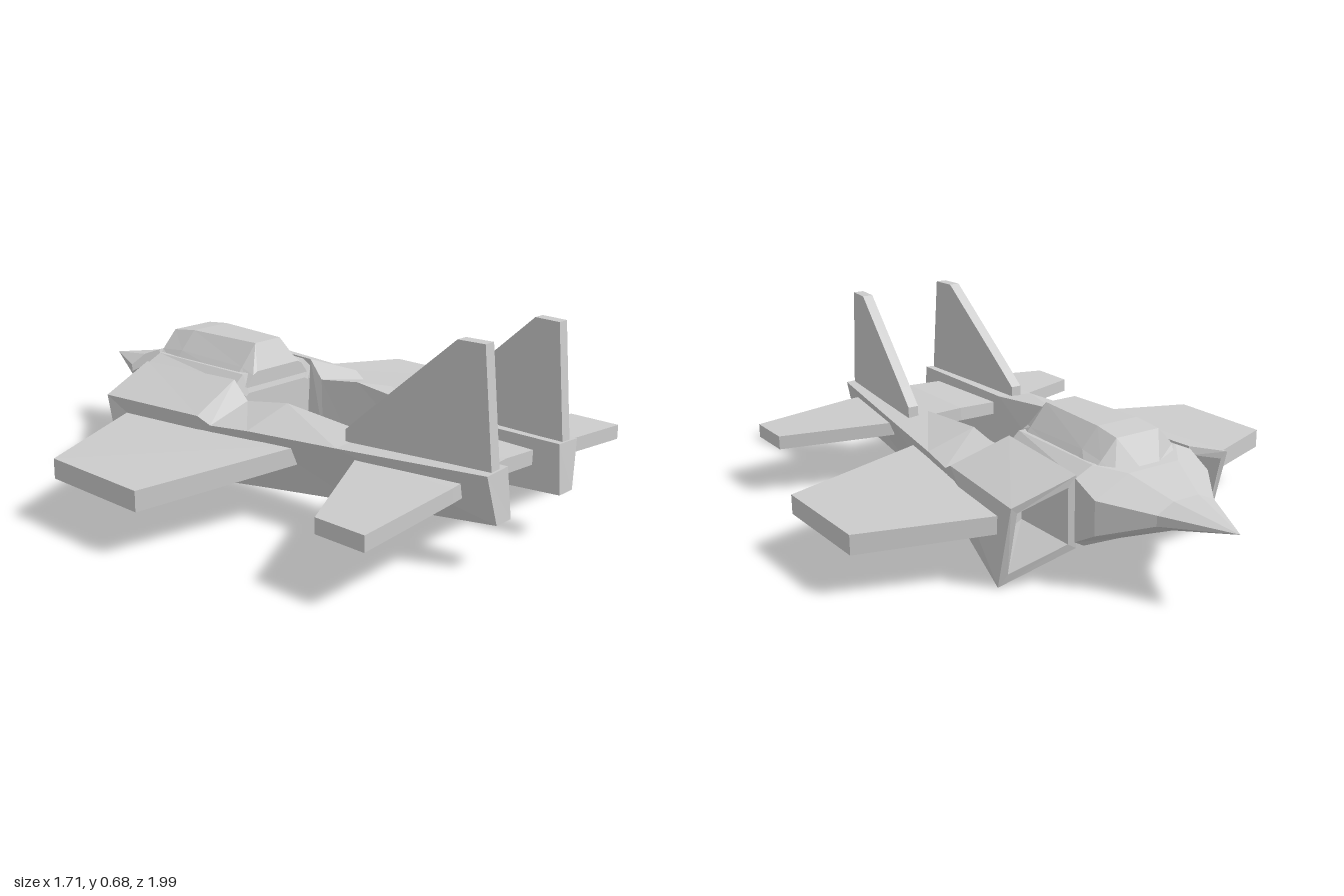
import * as THREE from 'three';

const material = new THREE.MeshStandardMaterial({ color: 0xcccccc, flatShading: true });

// Skin a closed solid over rings of [x, y, z], counter-clockwise seen from the last ring's end
function loft(name, rings) {
  const out = [];
  const tri = (a, b, c) => out.push(...a, ...b, ...c);
  const n = rings[0].length;
  for (let i = 0; i < rings.length - 1; i++) {
    for (let j = 0; j < n; j++) {
      const k = (j + 1) % n, a = rings[i], b = rings[i + 1];
      tri(a[j], a[k], b[k]);
      tri(a[j], b[k], b[j]);
    }
  }
  const first = rings[0], last = rings[rings.length - 1];
  for (let j = 1; j < n - 1; j++) {
    tri(first[0], first[j + 1], first[j]);
    tri(last[0], last[j], last[j + 1]);
  }
  const geometry = new THREE.BufferGeometry();
  geometry.setAttribute('position', new THREE.Float32BufferAttribute(out, 3));
  geometry.computeVertexNormals();
  const mesh = new THREE.Mesh(geometry, material);
  mesh.name = name;
  return mesh;
}

const flip = ([x, y, z]) => [-x, y, z];
const mirror = (rings) => rings.map((r) => r.map(flip).reverse());
// Complete a right-to-left half outline (given on +x, bottom to top) symmetrically
const whole = (half) => [...half, ...half.map(flip).reverse()];

export function createModel() {
  const group = new THREE.Group();
  const pair = (name, rings) => {
    group.add(loft(name + 'Left', rings), loft(name + 'Right', mirror(rings)));
  };

  // Nose and central body: z, bottom half-width and y, side half-width and y range, top half-width and y
  const body = [
    [-0.99, 0, 0.27, 0, 0.27, 0.27, 0, 0.27],
    [-0.76, 0.05, 0.217, 0.115, 0.245, 0.28, 0.05, 0.31],
    [-0.61, 0.13, 0.16, 0.23, 0.19, 0.305, 0.1, 0.365],
    [-0.52, 0.2, 0.12, 0.235, 0.14, 0.35, 0.17, 0.38],
    [-0.1, 0.15, 0.12, 0.19, 0.16, 0.34, 0.15, 0.375],
    [-0.08, 0.15, 0.12, 0.155, 0.16, 0.3, 0.14, 0.31],
  ];
  group.add(loft('fuselage', body.map(([z, bw, by, w, y0, y1, tw, ty]) =>
    whole([[bw, by, z], [w, y0, z], [w, y1, z], [tw, ty, z]]))));

  // Canopy
  group.add(loft('canopy', [
    [[0.19, 0.34, -0.53], [0.12, 0.36, -0.57], [0.04, 0.367, -0.59]],
    [[0.19, 0.35, -0.51], [0.145, 0.39, -0.53], [0.085, 0.453, -0.53]],
    [[0.18, 0.35, -0.43], [0.14, 0.4, -0.43], [0.08, 0.465, -0.43]],
    [[0.16, 0.35, -0.13], [0.125, 0.39, -0.13], [0.06, 0.465, -0.13]],
    [[0.15, 0.33, -0.08], [0.12, 0.37, -0.08], [0.1, 0.38, -0.08]],
  ].map(whole)));

  // Booms, starting inside the hollow intake, then the lip, then back to the tail.
  // Corners: outer bottom, outer top, inner top, inner bottom
  pair('boom', [
    [[0.36, 0.09, -0.27], [0.36, 0.25, -0.27], [0.26, 0.28, -0.27], [0.26, 0.14, -0.27]],
    [[0.42, 0.045, -0.424], [0.42, 0.265, -0.476], [0.255, 0.322, -0.511], [0.255, 0.135, -0.511]],
    [[0.445, 0, -0.405], [0.445, 0.287, -0.48], [0.23, 0.36, -0.52], [0.23, 0.12, -0.52]],
    [[0.36, 0.045, -0.1], [0.397, 0.29, -0.06], [0.19, 0.365, -0.1], [0.15, 0.115, -0.1]],
    [[0.335, 0.06, 0], [0.385, 0.265, -0.01], [0.185, 0.3, -0.04], [0.15, 0.11, 0]],
    [[0.305, 0.07, 0.14], [0.362, 0.275, 0.14], [0.175, 0.328, 0.14], [0.15, 0.11, 0.14]],
    [[0.235, 0.095, 0.5], [0.31, 0.285, 0.48], [0.16, 0.298, 0.48], [0.15, 0.105, 0.5]],
    [[0.2, 0.15, 1], [0.236, 0.305, 0.985], [0.135, 0.31, 0.985], [0.13, 0.15, 1]],
  ]);

  // Main wings, root to tip
  pair('wing', [
    [[0.27, 0.19, 0.315], [0.41, 0.175, -0.405], [0.41, 0.235, -0.405], [0.27, 0.25, 0.315]],
    [[0.853, 0.15, 0.18], [0.853, 0.15, -0.225], [0.853, 0.217, -0.225], [0.853, 0.217, 0.18]],
  ]);

  // One-piece tailplane across both booms: x, leading z, trailing z, bottom y, top y
  const tail = [
    [0, 0.503, 0.888, 0.225, 0.275],
    [0.15, 0.513, 0.893, 0.22, 0.268],
    [0.28, 0.535, 0.9, 0.212, 0.26],
    [0.655, 0.715, 0.895, 0.18, 0.23],
  ];
  const span = [...tail.slice(1).reverse().map(([x, ...r]) => [-x, ...r]), ...tail];
  group.add(loft('tailplane', span.map(([x, z0, z1, y0, y1]) =>
    [[x, y0, z1], [x, y0, z0], [x, y1, z0], [x, y1, z1]])));

  // Toed-in tail fins
  const profile = [[0.98, 0.28], [0.465, 0.28], [0.465, 0.33], [0.53, 0.39], [0.85, 0.675], [0.94, 0.675]];
  pair('tailFin', [-0.02, 0.02].map((t) =>
    profile.map(([z, y]) => [0.23 - (z - 0.465) * 0.088 + t, y, z])));

  return group;
}
